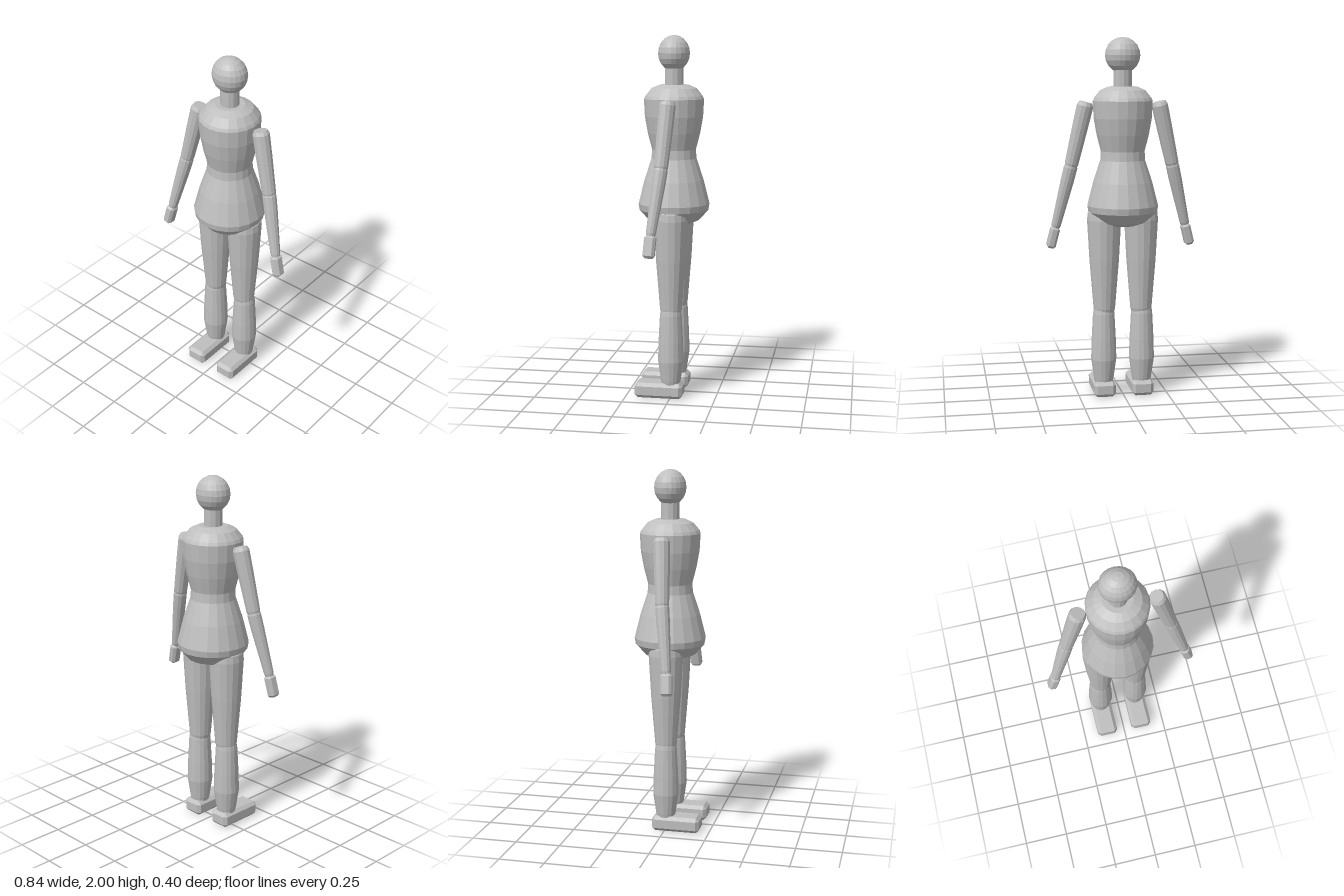
import * as THREE from 'three';
import { ConvexGeometry } from 'three/addons/geometries/ConvexGeometry.js';

const clay = new THREE.MeshStandardMaterial({ color: 0xbfbfbf, flatShading: true });
clay.name = 'grey clay';

function part(name, geometry) {
  const mesh = new THREE.Mesh(geometry, clay);
  mesh.name = name;
  return mesh;
}

// Solid of revolution from [radius, y] pairs, bottom to top
function turned(profile, sides) {
  return new THREE.LatheGeometry(profile.map(([r, y]) => new THREE.Vector2(r, y)), sides);
}

// Box with every edge cut off by c
function chamferedBox(w, h, d, c) {
  const points = [];
  for (const x of [-1, 1]) for (const y of [-1, 1]) for (const z of [-1, 1]) {
    const a = w / 2, b = h / 2, e = d / 2;
    points.push(
      new THREE.Vector3(x * a, y * (b - c), z * (e - c)),
      new THREE.Vector3(x * (a - c), y * b, z * (e - c)),
      new THREE.Vector3(x * (a - c), y * (b - c), z * e));
  }
  return new ConvexGeometry(points);
}

// Move a geometry built along y so that y points from low to high, origin at low
function along(geometry, low, high) {
  const dir = high.clone().sub(low).normalize();
  const q = new THREE.Quaternion().setFromUnitVectors(new THREE.Vector3(0, 1, 0), dir);
  return geometry.applyQuaternion(q).translate(low.x, low.y, low.z);
}

function makeArm(side) {
  const arm = new THREE.Group();
  arm.name = side > 0 ? 'leftArm' : 'rightArm';
  const at = (x, y, z) => new THREE.Vector3(side * x, y, z);
  const shoulder = at(0.203, 1.648, 0), elbow = at(0.284, 1.3, 0.022);
  const wrist = at(0.368, 0.955, 0.063), fingertips = at(0.397, 0.84, 0.07);

  const upper = shoulder.distanceTo(elbow);
  arm.add(part('upperArm', along(turned([
    [0, -0.005], [0.034, -0.005], [0.038, 0.01], [0.044, upper * 0.6],
    [0.046, upper - 0.02], [0.036, upper], [0, upper],
  ], 12), elbow, shoulder)));

  const lower = elbow.distanceTo(wrist);
  arm.add(part('forearm', along(turned([
    [0, 0], [0.024, 0], [0.027, 0.015], [0.037, lower * 0.75],
    [0.038, lower - 0.01], [0.034, lower + 0.005], [0, lower + 0.005],
  ], 12), wrist, elbow)));

  const hand = chamferedBox(0.052, 0.122, 0.062, 0.013).translate(0, 0.06, 0);
  arm.add(part('hand', along(hand, fingertips, wrist)));
  return arm;
}

function makeLeg(side) {
  const leg = new THREE.Group();
  leg.name = side > 0 ? 'leftLeg' : 'rightLeg';
  const thigh = part('thigh', turned([
    [0, 0.48], [0.056, 0.48], [0.061, 0.5], [0.083, 0.77], [0.096, 1.0],
    [0.092, 1.04], [0.07, 1.065], [0, 1.065],
  ], 16));
  const shin = part('shin', turned([
    [0, 0.07], [0.05, 0.07], [0.056, 0.1], [0.072, 0.21], [0.069, 0.32],
    [0.061, 0.47], [0.056, 0.5], [0, 0.5],
  ], 16));
  const foot = part('foot', chamferedBox(0.122, 0.085, 0.268, 0.018));
  thigh.position.x = side * 0.104;
  shin.position.x = side * 0.108;
  foot.position.set(side * 0.108, 0.0425, 0.064);
  leg.add(thigh, shin, foot);
  return leg;
}

export function createModel() {
  const figure = new THREE.Group();
  figure.name = 'mannequin';

  // Pelvis, waist and chest in one turned body
  figure.add(part('torso', turned([
    [0, 0.968], [0.085, 0.968], [0.14, 0.988], [0.192, 1.045], [0.198, 1.08],
    [0.165, 1.21], [0.125, 1.33], [0.122, 1.38], [0.145, 1.47], [0.161, 1.56], [0.166, 1.655],
    [0.158, 1.672], [0.125, 1.712], [0.08, 1.732], [0, 1.732],
  ], 20)));

  figure.add(part('neck', turned([[0, 1.71], [0.051, 1.71], [0.051, 1.84], [0, 1.84]], 12)));

  const head = part('head', new THREE.SphereGeometry(0.098, 20, 10));
  head.scale.z = 0.89;
  head.position.y = 1.902;
  figure.add(head);

  for (const side of [-1, 1]) figure.add(makeArm(side), makeLeg(side));
  return figure;
}
